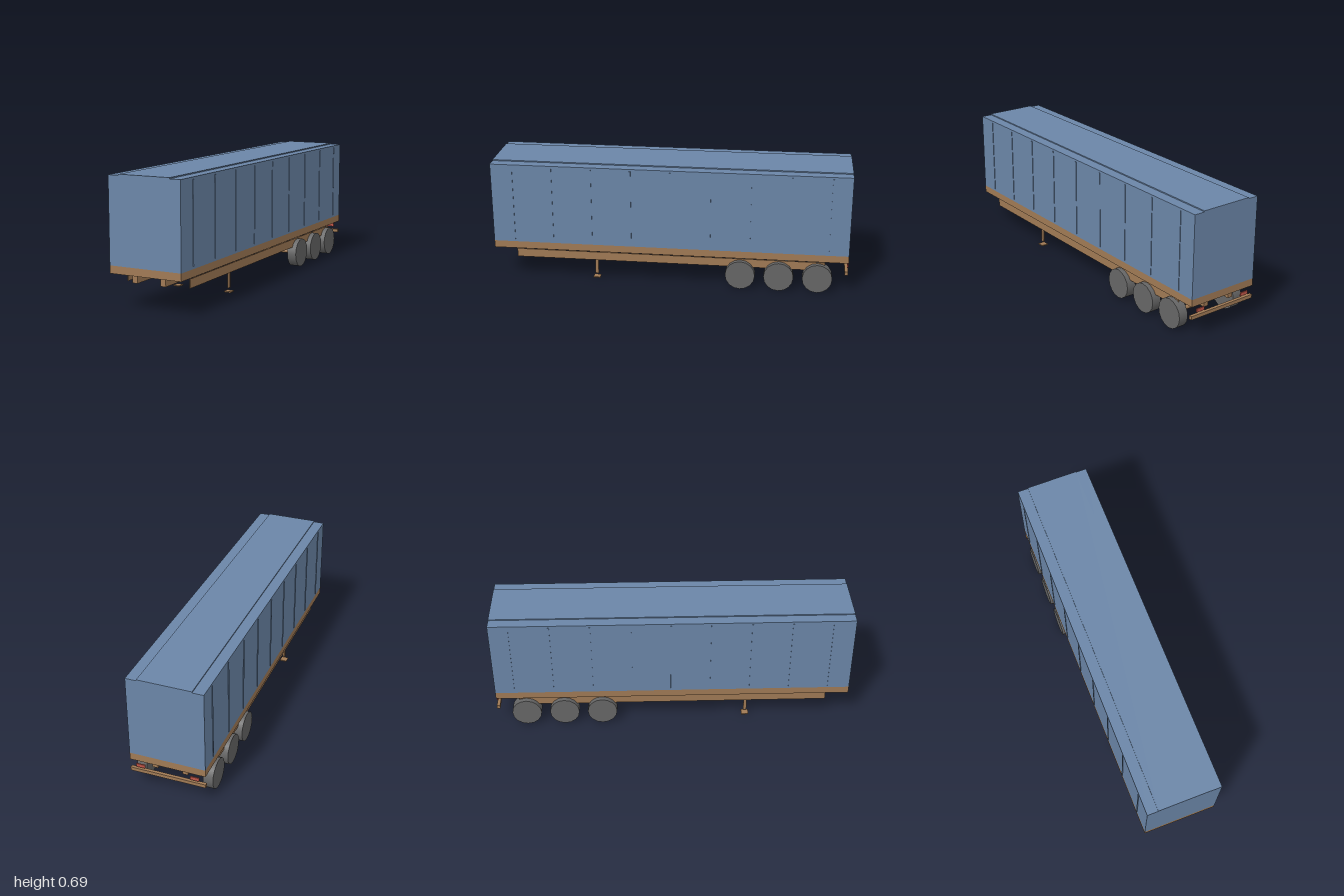
import * as THREE from 'three';

export function createModel() {
  const trailer = new THREE.Group();
  trailer.name = 'boxTrailer';

  const paint = (color) => new THREE.MeshStandardMaterial({ color });
  const blue = paint(0x6b86a8);
  const brown = paint(0xa07a55);
  const rubber = paint(0x666666);
  const red = paint(0xc05548);

  // Box given by its extents along each axis
  function block(name, material, [x0, x1], [y0, y1], [z0, z1]) {
    const mesh = new THREE.Mesh(new THREE.BoxGeometry(x1 - x0, y1 - y0, z1 - z0), material);
    mesh.position.set((x0 + x1) / 2, (y0 + y1) / 2, (z0 + z1) / 2);
    mesh.name = name;
    trailer.add(mesh);
  }

  // The same box on both sides, x extents given for the left
  function pair(name, material, [x0, x1], y, z) {
    block(name + 'Left', material, [x0, x1], y, z);
    block(name + 'Right', material, [-x1, -x0], y, z);
  }

  // Cylinder lying across the trailer
  function roller(name, material, radius, length, x, y, z, sides) {
    const geometry = new THREE.CylinderGeometry(radius, radius, length, sides);
    geometry.rotateZ(Math.PI / 2);
    const mesh = new THREE.Mesh(geometry, material);
    mesh.position.set(x, y, z);
    mesh.name = name;
    trailer.add(mesh);
  }

  // Cargo box, floor and raised roof panel
  block('cargoBox', blue, [-0.208, 0.208], [0.226, 0.684], [-0.998, 1]);
  block('floor', brown, [-0.208, 0.208], [0.185, 0.226], [-0.998, 1]);
  block('roofPanel', blue, [-0.147, 0.147], [0.684, 0.69], [-0.998, 1]);

  // Vertical ribs along the side walls
  for (let i = 0; i < 9; i++) {
    const z = 0.88 - i * 0.2215;
    pair('wallRib' + (i + 1), blue, [0.207, 0.211], [0.24, 0.672], [z - 0.004, z + 0.004]);
  }

  // Chassis beams and thin side guards
  pair('chassisBeam', brown, [0.068, 0.098], [0.14, 0.186], [-0.965, 0.965]);
  pair('sideGuard', brown, [0.181, 0.186], [0.124, 0.172], [-0.87, 0.875]);

  // Landing legs with their foot plates
  pair('landingLeg', brown, [0.154, 0.163], [0.031, 0.147], [0.411, 0.429]);
  pair('landingFoot', brown, [0.138, 0.178], [0.008, 0.014], [0.4, 0.44]);

  // Rear bumper and tail lights
  block('rearBumper', brown, [-0.208, 0.208], [0.113, 0.133], [-0.998, -0.98]);
  pair('tailLight', red, [0.125, 0.174], [0.147, 0.166], [-1, -0.993]);

  // Three axles, each with a pair of wheels
  [-0.4, -0.615, -0.83].forEach((z, i) => {
    roller('axle' + (i + 1), brown, 0.0115, 0.34, 0, 0.0835, z, 12);
    for (const side of [1, -1]) {
      const label = side > 0 ? 'Left' : 'Right';
      roller('wheel' + (i + 1) + label, rubber, 0.0835, 0.055, side * 0.1855, 0.0835, z, 16);
    }
  });

  return trailer;
}
